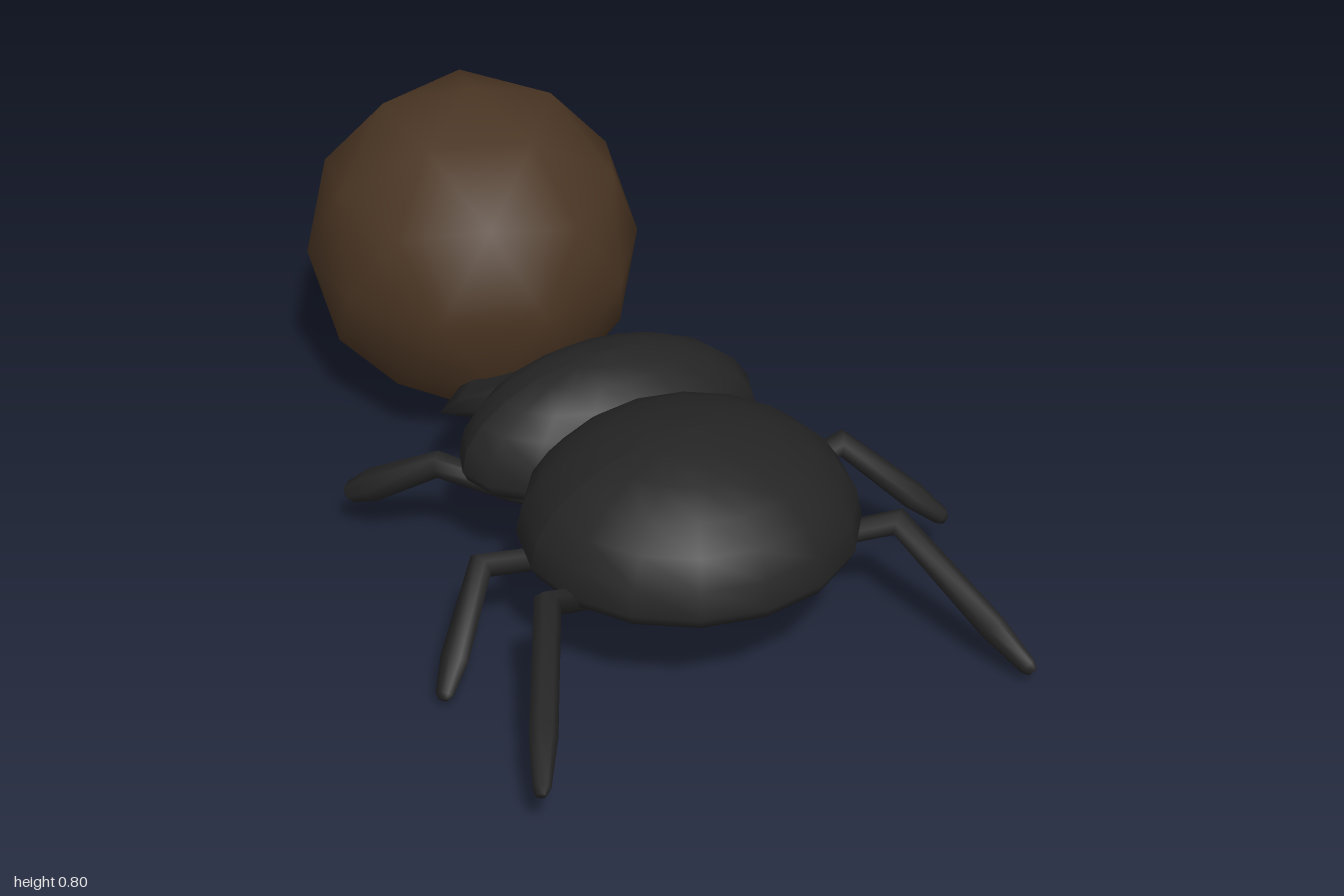
import * as THREE from 'three';

const shell = new THREE.MeshStandardMaterial({ color: 0x242425 });
shell.name = 'black shell';
const earth = new THREE.MeshStandardMaterial({ color: 0x4a3523 });
earth.name = 'brown earth';

const CX = -0.013; // midline of the body

// Closed skin over a list of rings, each wound anticlockwise about the travel direction
function loft(rings) {
  const n = rings[0].length;
  const pos = [], index = [];
  rings.forEach(ring => ring.forEach(p => pos.push(p.x, p.y, p.z)));
  for (let i = 0; i < rings.length - 1; i++) {
    for (let j = 0; j < n; j++) {
      const k = (j + 1) % n;
      const a = i * n + j, b = i * n + k, c = a + n, d = b + n;
      index.push(a, b, c, b, d, c);
    }
  }
  const last = (rings.length - 1) * n;
  for (let j = 1; j < n - 1; j++) {
    index.push(0, j + 1, j, last, last + j, last + j + 1);
  }
  const geo = new THREE.BufferGeometry();
  geo.setAttribute('position', new THREE.Float32BufferAttribute(pos, 3));
  geo.setIndex(index);
  geo.computeVertexNormals();
  return geo;
}

// Tapered limb through joints given as [x, y, z, radius]
function limb(joints, sides = 7) {
  const pts = joints.map(j => new THREE.Vector3(j[0], j[1], j[2]));
  const up = new THREE.Vector3(0, 1, 0);
  return loft(pts.map((p, i) => {
    const t = new THREE.Vector3();
    if (i > 0) t.add(p.clone().sub(pts[i - 1]).normalize());
    if (i < pts.length - 1) t.add(pts[i + 1].clone().sub(p).normalize());
    t.normalize();
    const u = new THREE.Vector3().crossVectors(up, t).normalize();
    const v = new THREE.Vector3().crossVectors(t, u);
    return Array.from({ length: sides }, (_, j) => {
      const a = j / sides * Math.PI * 2, r = joints[i][3];
      return p.clone().addScaledVector(u, r * Math.cos(a)).addScaledVector(v, r * Math.sin(a));
    });
  }));
}

// Domed ellipsoid with a shallower belly than back
function dome(rx, rz, top, belly) {
  const geo = new THREE.SphereGeometry(1, 16, 12);
  const p = geo.attributes.position;
  for (let i = 0; i < p.count; i++) {
    const y = p.getY(i);
    p.setXYZ(i, p.getX(i) * rx, y * (y > 0 ? top : belly), p.getZ(i) * rz);
  }
  geo.computeVertexNormals();
  return geo;
}

export function createModel() {
  const model = new THREE.Group();
  const add = (name, geo, mat, x = 0, y = 0, z = 0) => {
    const mesh = new THREE.Mesh(geo, mat);
    mesh.name = name;
    mesh.position.set(x, y, z);
    model.add(mesh);
    return mesh;
  };

  // Rolled ball, one vertex pointing straight up
  const ball = new THREE.IcosahedronGeometry(0.4, 1);
  ball.rotateZ(-Math.atan2(2, 1 + Math.sqrt(5)));
  ball.scale(0.965, 1, 1);
  add('ball', ball, earth, CX, 0.402, -0.603);

  // Body
  add('abdomen', dome(0.372, 0.35, 0.24, 0.1), shell, CX, 0.28, 0.49);
  add('thorax', dome(0.355, 0.2, 0.215, 0.095), shell, CX, 0.285, 0.11);

  // Shovel-shaped head: [z, half width, centre height, half height]
  const head = [
    [0.02, 0.13, 0.27, 0.06],
    [-0.13, 0.2, 0.26, 0.068],
    [-0.19, 0.275, 0.24, 0.04],
    [-0.29, 0.18, 0.227, 0.014],
    [-0.31, 0.1, 0.225, 0.008],
  ].map(([z, w, y, h]) => Array.from({ length: 10 }, (_, j) => {
    const a = j / 10 * Math.PI * 2;
    return new THREE.Vector3(CX + w * Math.cos(a), y - h * Math.sin(a), z);
  }));
  add('head', loft(head), shell);

  // Legs in an alternating gait: hip, knee and tip of each
  const legs = {
    frontLegLeft: [[0.18, 0.175, 0.52], [0.40, 0.26, 0.66], [0.55, 0.03, 0.985]],
    frontLegRight: [[-0.2, 0.175, 0.52], [-0.42, 0.295, 0.64], [-0.6, 0.11, 0.985]],
    middleLegLeft: [[0.2, 0.18, 0.34], [0.42, 0.29, 0.38], [0.61, 0.115, 0.52]],
    middleLegRight: [[-0.2, 0.18, 0.36], [-0.44, 0.22, 0.36], [-0.605, 0.03, 0.52]],
    rearLegLeft: [[0.18, 0.19, 0.16], [0.36, 0.22, 0.02], [0.48, 0.03, -0.185]],
    rearLegRight: [[-0.2, 0.19, 0.16], [-0.38, 0.25, 0.01], [-0.52, 0.1, -0.18]],
  };
  for (const [name, [hip, knee, tip]] of Object.entries(legs)) {
    const mix = (a, b, t) => a.map((v, i) => v + (b[i] - v) * t);
    const rear = name.startsWith('rear') ? 1.25 : 1;
    add(name, limb([
      [...hip, 0.018],
      [...mix(hip, knee, 0.3), 0.026],
      [...knee, 0.031],
      [...mix(knee, tip, 0.7), 0.031 * rear],
      [...mix(knee, tip, 0.96), 0.02 * rear],
      [...tip, 0.011 * rear],
    ]), shell);
  }
  return model;
}
